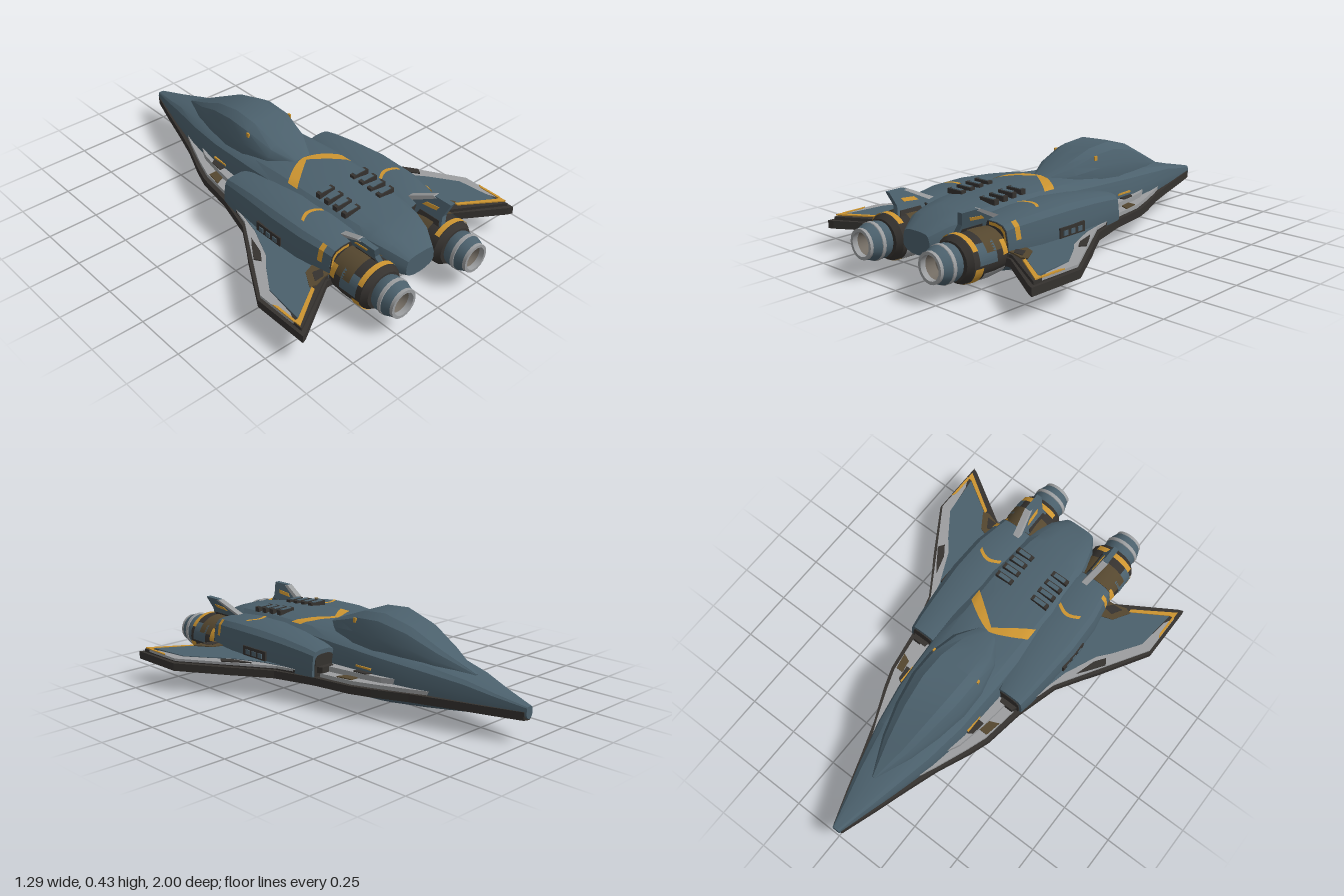
import * as THREE from 'three';
import { toCreasedNormals } from 'three/addons/utils/BufferGeometryUtils.js';

const mat = (name, color) => new THREE.MeshStandardMaterial({ name, color, side: THREE.DoubleSide });

// right half of a hull section, bottom centre to top centre, in units of half width and height
const HULL = [[0, -1], [0.4, -0.94], [0.75, -0.7], [0.95, -0.35], [1, 0], [0.97, 0.45], [0.88, 0.8], [0.7, 0.94], [0.35, 1], [0, 1]];
const CANOPY = [[0, -1], [1, -1], [1, 0], [0.96, 0.35], [0.78, 0.8], [0.5, 1], [0, 1]];

// sections: z, centre x, half width, top y, middle y, bottom y
const BODY_SECTIONS = [
  [-1, 0, 0.02, 0.165, 0.135, 0.11], [-0.85, 0, 0.065, 0.2, 0.13, 0.09], [-0.72, 0, 0.105, 0.235, 0.13, 0.075],
  [-0.5, 0, 0.165, 0.27, 0.13, 0.045], [-0.3, 0, 0.2, 0.29, 0.135, 0.02], [-0.03, 0, 0.215, 0.31, 0.135, 0.005],
  [0.15, 0, 0.22, 0.325, 0.13, 0.008], [0.4, 0, 0.22, 0.328, 0.13, 0.025], [0.64, 0, 0.185, 0.31, 0.14, 0.045],
  [0.7, 0, 0.168, 0.302, 0.16, 0.058], [0.715, 0, 0.165, 0.3, 0.17, 0.115], [0.8, 0, 0.135, 0.28, 0.175, 0.12],
  [0.88, 0, 0.085, 0.235, 0.17, 0.13]];
const CANOPY_SECTIONS = [
  [-0.72, 0, 0.01, 0.24, 0.225, 0.2], [-0.55, 0, 0.085, 0.322, 0.255, 0.22], [-0.4, 0, 0.128, 0.397, 0.275, 0.22],
  [-0.25, 0, 0.155, 0.434, 0.29, 0.22], [-0.12, 0, 0.155, 0.423, 0.295, 0.22], [0.02, 0, 0.125, 0.37, 0.3, 0.22],
  [0.13, 0, 0.055, 0.326, 0.3, 0.22]];
const nacelleSections = s => [
  [-0.04, 0.255, 0.075, 0.262, 0.15, 0.11], [0.02, 0.25, 0.09, 0.275, 0.145, 0.09], [0.15, 0.24, 0.115, 0.292, 0.14, 0.065],
  [0.32, 0.235, 0.135, 0.305, 0.135, 0.045], [0.5, 0.235, 0.13, 0.303, 0.135, 0.045], [0.62, 0.225, 0.118, 0.29, 0.14, 0.055],
  [0.67, 0.225, 0.108, 0.28, 0.14, 0.065]].map(([z, x, ...r]) => [z, x * s, ...r]);

function finish(pos, idx) {
  const g = new THREE.BufferGeometry();
  g.setAttribute('position', new THREE.Float32BufferAttribute(pos, 3));
  g.setIndex(idx);
  return toCreasedNormals(g, 0.45);
}

// skin stretched over the sections, closed at both ends
function loft(sections, half) {
  const ring = [...half, ...half.slice(1, -1).reverse().map(([x, y]) => [-x, y])];
  const n = ring.length, pos = [], idx = [];
  for (const [z, cx, w, top, mid, bot] of sections)
    for (const [u, v] of ring) pos.push(cx + u * w, mid + v * (v > 0 ? top - mid : mid - bot), z);
  for (let i = 0; i < sections.length - 1; i++)
    for (let j = 0; j < n; j++) {
      const a = i * n + j, b = i * n + (j + 1) % n;
      idx.push(a, b, b + n, a, b + n, a + n);
    }
  for (const end of [0, sections.length - 1]) {
    const [z, cx, , , mid] = sections[end], c = pos.length / 3;
    pos.push(cx, mid, z);
    for (let j = 0; j < n; j++) {
      const a = end * n + j, b = end * n + (j + 1) % n;
      idx.push(c, ...(end ? [a, b] : [b, a]));
    }
  }
  return finish(pos, idx);
}

// section interpolated at z
function sectionAt(sections, z) {
  let i = 0;
  while (i < sections.length - 2 && sections[i + 1][0] < z) i++;
  const a = sections[i], b = sections[i + 1], t = (z - a[0]) / (b[0] - a[0]);
  return a.map((v, k) => v + (b[k] - v) * t);
}

// height of the upper skin at x, z
function topY(sections, x, z) {
  const [, cx, w, top, mid] = sectionAt(sections, z), u = Math.abs(x - cx) / w;
  for (let i = HULL.length - 1; i > 4; i--) {
    const [u1, v1] = HULL[i], [u0, v0] = HULL[i - 1];
    if (u >= u1 && u <= u0) return mid + (top - mid) * (v1 + (v0 - v1) * (u - u1) / (u0 - u1));
  }
  return 0;
}

// painted ribbon between two rows of points
function ribbon(rowA, rowB) {
  const pos = [], idx = [];
  rowA.forEach((p, i) => pos.push(...p, ...rowB[i]));
  for (let i = 0; i < rowA.length - 1; i++) idx.push(2 * i, 2 * i + 1, 2 * i + 3, 2 * i, 2 * i + 3, 2 * i + 2);
  return finish(pos, idx);
}

// flat plate with an outline in x, z
function plate(points, s, y0, y1) {
  const shape = new THREE.Shape(points.map(([x, z]) => new THREE.Vector2(x * s, -z)));
  return new THREE.ExtrudeGeometry(shape, { depth: y1 - y0, bevelEnabled: false }).rotateX(-Math.PI / 2).translate(0, y0, 0);
}

// turned part along z; points are radius, z; an arc is in degrees, from below (0) through +x (90) to the top (180)
const turned = (points, from = 0, to = 360) => toCreasedNormals(new THREE.LatheGeometry(points.map(p => new THREE.Vector2(...p)),
  20, from * Math.PI / 180, (to - from) * Math.PI / 180).rotateX(Math.PI / 2), 0.6);

export function createModel() {
  const model = new THREE.Group();
  model.name = 'starfighter';
  const blue = mat('blueGreyHull', 0x4b606c), dark = mat('darkTrim', 0x35322f), light = mat('lightGrey', 0x9c9ea0);
  const orange = mat('orangePaint', 0xcc9430), brown = mat('brownMetal', 0x55472f), inner = mat('nozzleGrey', 0x746d64);
  const add = (name, geometry, material, parent = model) => {
    const m = new THREE.Mesh(geometry, material);
    m.name = name;
    parent.add(m);
    return m;
  };
  const box = (name, size, at, material, parent) =>
    add(name, new THREE.BoxGeometry(...size), material, parent).position.set(...at);

  add('fuselage', loft(BODY_SECTIONS, HULL), blue);
  add('canopy', loft(CANOPY_SECTIONS, CANOPY), blue);

  // chevron behind the canopy, draped over the back
  const drape = (x, z) => [x, topY(BODY_SECTIONS, x, z) + 0.005, z];
  const xs = Array.from({ length: 17 }, (_, i) => (i - 8) * 0.0208);
  add('chevron', ribbon(xs.map(x => drape(x, 0.132 + 0.085 * Math.pow(Math.abs(x) / 0.166, 1.4))),
    xs.map(x => drape(x, 0.155 + 0.125 * Math.abs(x) / 0.166))), orange);

  // rear step under the tail
  const step = (y0, y1, xw) => [-1, -0.5, 0, 0.5, 1].map(t => [t * xw, y0 + (y1 - y0) * Math.abs(t), 0.718]);
  add('rearStep', ribbon(step(0.064, 0.085, 0.125), step(0.118, 0.125, 0.13)), dark);
  add('rearStepStripe', ribbon(step(0.07, 0.09, 0.08), step(0.083, 0.102, 0.08)).translate(0, 0, 0.003), orange);

  for (const s of [1, -1]) {
    const side = new THREE.Group();
    side.name = s > 0 ? 'leftSide' : 'rightSide';
    model.add(side);

    // wing with its forward strake: slab, then painted plates
    const panel = (name, y0, y1, material, ...points) => add(name, plate(points, s, y0, y1), material, side);
    panel('wingSlab', 0.105, 0.142, dark, [0, -1], [0.025, -0.99], [0.08, -0.83], [0.135, -0.66], [0.19, -0.5], [0.26, -0.34], [0.295, -0.24],
      [0.325, -0.05], [0.385, 0.16], [0.46, 0.28], [0.5, 0.34], [0.645, 0.58], [0.645, 0.86], [0.62, 0.85], [0.35, 0.68], [0, 0.68]);
    panel('strakePanel', 0.142, 0.16, light, [0.14, -0.58], [0.18, -0.49], [0.24, -0.34], [0.275, -0.24], [0.3, -0.06], [0.15, -0.04]);
    panel('strakeInset', 0.16, 0.185, light, [0.15, -0.46], [0.205, -0.35], [0.235, -0.2], [0.255, -0.05], [0.15, -0.05]);
    panel('strakePatch', 0.185, 0.189, dark, [0.19, -0.29], [0.222, -0.27], [0.23, -0.2], [0.19, -0.2]);
    panel('strakeEdgePatch', 0.16, 0.165, brown, [0.23, -0.23], [0.27, -0.23], [0.285, -0.15], [0.24, -0.17]);
    panel('strakeEndPatch', 0.16, 0.188, dark, [0.225, -0.07], [0.295, -0.07], [0.305, -0.045], [0.22, -0.045]);
    panel('wingPanel', 0.142, 0.157, dark, [0.3, 0], [0.33, 0], [0.37, 0.17], [0.45, 0.3], [0.49, 0.37], [0.625, 0.59], [0.63, 0.835], [0.35, 0.67], [0.3, 0.67]);
    panel('leadingEdge', 0.15, 0.162, light, [0.335, 0.03], [0.372, 0.16], [0.455, 0.295], [0.495, 0.36], [0.633, 0.583], [0.633, 0.79],
      [0.607, 0.74], [0.585, 0.585], [0.5, 0.46], [0.45, 0.4], [0.38, 0.24], [0.34, 0.12]);
    panel('wingSkin', 0.157, 0.165, blue, [0.3, 0.08], [0.345, 0.1], [0.38, 0.24], [0.45, 0.4], [0.5, 0.46], [0.585, 0.585], [0.607, 0.785], [0.4, 0.655], [0.3, 0.65]);
    panel('wingRootPatch', 0.163, 0.169, brown, [0.3, 0.6], [0.34, 0.58], [0.4, 0.6], [0.45, 0.68], [0.42, 0.69], [0.36, 0.672], [0.3, 0.67]);
    panel('wingRootPaint', 0.166, 0.171, dark, [0.33, 0.63], [0.38, 0.62], [0.41, 0.67], [0.36, 0.668]);
    panel('leadingEdgePatch', 0.157, 0.167, dark, [0.425, 0.27], [0.455, 0.31], [0.51, 0.39], [0.49, 0.42], [0.455, 0.37]);
    panel('trailingStripe', 0.16, 0.166, orange, [0.44, 0.682], [0.607, 0.787], [0.63, 0.79], [0.63, 0.825], [0.615, 0.815], [0.44, 0.7]);
    panel('tipStripe', 0.16, 0.166, orange, [0.622, 0.68], [0.633, 0.66], [0.633, 0.79], [0.622, 0.79]);
    panel('wingUnderside', 0.1, 0.105, blue, [0.05, -0.85], [0.17, -0.5], [0.24, -0.34], [0.27, -0.24], [0.3, -0.05], [0.36, 0.16],
      [0.48, 0.37], [0.615, 0.6], [0.615, 0.81], [0.35, 0.65], [0.05, 0.65]);
    panel('underTipStripe', 0.097, 0.103, orange, [0.595, 0.7], [0.618, 0.7], [0.618, 0.81], [0.595, 0.795]);

    // engine housing with intake, rear face and paint
    const sections = nacelleSections(s);
    add('nacelle', loft(sections, HULL), blue, side);
    const cap = (name, z, k, m) => {
      const [, cx, w, top, mid, bot] = sectionAt(sections, z);
      add(name, loft([z - 0.004, z + 0.004].map(e => [e, cx, w * k, mid + (top - mid) * k, mid, mid - (mid - bot) * k]), HULL), m, side);
    };
    cap('intake', -0.04, 0.82, dark);
    cap('nacelleRear', 0.67, 0.98, dark);

    const outline = (z, k, from, to) => {
      const [, cx, w, top, mid] = sectionAt(sections, z);
      return HULL.slice(from, to).map(([u, v]) => [cx + s * u * w * k, mid + v * (top - mid) * k, z]);
    };
    add('nacelleBand', ribbon(outline(0.608, 1.03, 5, 8), outline(0.632, 1.03, 5, 8)), orange, side);
    add('rearEdgeStripe', ribbon(outline(0.67, 0.97, 5), outline(0.67, 0.87, 5)).translate(0, 0, 0.006), orange, side);

    const arc = dz => Array.from({ length: 8 }, (_, i) => {
      const x = s * (0.175 + i * 0.017), z = 0.45 - 0.026 * Math.sin(i / 7 * Math.PI) + dz;
      return [x, Math.max(topY(sections, x, z), topY(BODY_SECTIONS, x, z)) + 0.005, z];
    });
    add('shoulderStripe', ribbon(arc(0), arc(0.018)), orange, side);
    box('sideVentFrame', [0.02, 0.046, 0.16], [s * 0.36, 0.188, 0.32], dark, side);
    for (let i = 0; i < 3; i++) box('sideVentSlat', [0.02, 0.022, 0.026], [s * 0.364, 0.185, 0.275 + i * 0.045], blue, side);

    // back vents with hull coloured lids
    for (let i = 0; i < 4; i++) {
      const z = 0.395 + i * 0.054, y = topY(BODY_SECTIONS, 0.103, z);
      box('backVent', [0.09, 0.024, 0.026], [s * 0.103, y + 0.006, z], dark, side);
      box('backVentLid', [0.06, 0.004, 0.02], [s * 0.103, y + 0.019, z - 0.002], blue, side);
    }

    // engine: dark pod with painted patches, then the nozzle
    const engine = new THREE.Group();
    engine.name = 'engine';
    engine.position.set(s * 0.22, 0.155, 0);
    side.add(engine);
    const pod = (name, points, m, from = 0, to = 360) => { // arcs are given for the left engine and mirrored
      add(name, s > 0 ? turned(points, from, to) : turned(points, 360 - to, 360 - from), m, engine).scale.y = 0.9;
    };
    pod('enginePod', [[0, 0.58], [0.09, 0.6], [0.108, 0.66], [0.116, 0.74], [0.114, 0.86], [0.095, 0.885], [0.05, 0.89]], dark);
    pod('podTopPatch', [[0.111, 0.67], [0.119, 0.74], [0.119, 0.79]], brown, 110, 230);
    pod('podOuterPatch', [[0.119, 0.74], [0.118, 0.835]], blue, 85, 135);
    pod('podLowerPatch', [[0.111, 0.67], [0.119, 0.74], [0.118, 0.8]], light, 20, 62);
    pod('podInnerPatch', [[0.111, 0.67], [0.119, 0.74], [0.118, 0.84]], light, 285, 330);
    pod('podUnderPatch', [[0.119, 0.74], [0.118, 0.85]], brown, 330, 380);
    pod('podBandUpper', [[0.119, 0.832], [0.118, 0.858]], orange, 120, 225);
    pod('podBandLower', [[0.12, 0.815], [0.118, 0.858]], orange, 25, 80);
    pod('podStripe', [[0.113, 0.675], [0.118, 0.705]], orange, 95, 130);
    add('nozzle', turned([[0.07, 0.87], [0.083, 0.9], [0.083, 0.95], [0.068, 0.99]]), blue, engine);
    add('nozzleBand', turned([[0.083, 0.927], [0.086, 0.929], [0.086, 0.945], [0.083, 0.947]]), light, engine);
    add('nozzleRim', turned([[0.07, 0.982], [0.069, 1], [0.055, 1], [0.054, 0.975]]), light, engine);
    add('nozzleBore', turned([[0.055, 0.98], [0.045, 0.93], [0, 0.91]]), inner, engine);

    // tail fin leaning outwards
    const fin = (name, t, material, ...points) => {
      const shape = new THREE.Shape(points.map(([z, y]) => new THREE.Vector2(-z, y)));
      const g = new THREE.ExtrudeGeometry(shape, { depth: t, bevelEnabled: false }).rotateY(Math.PI / 2).translate(-t / 2, 0, 0);
      const p = g.attributes.position;
      for (let i = 0; i < p.count; i++) p.setX(i, p.getX(i) + s * (0.175 + (p.getY(i) - 0.22) * 0.42));
      add(name, toCreasedNormals(g, 0.4), material, side);
    };
    fin('tailFin', 0.026, blue, [0.61, 0.22], [0.62, 0.29], [0.75, 0.35], [0.84, 0.35], [0.82, 0.29], [0.84, 0.22]);
    fin('finEdge', 0.03, light, [0.615, 0.27], [0.618, 0.292], [0.74, 0.349], [0.76, 0.345]);
    fin('finRoot', 0.031, dark, [0.68, 0.22], [0.7, 0.27], [0.812, 0.27], [0.83, 0.22]);
    fin('finMark', 0.032, orange, [0.7, 0.295], [0.72, 0.312], [0.79, 0.318], [0.78, 0.302]);

    // small painted marks
    box('canopyMark', [0.008, 0.022, 0.016], [s * 0.127, 0.385, -0.11], orange, side);
    box('strakeMark', [0.012, 0.008, 0.09], [s * 0.197, 0.205, -0.235], orange, side);
  }
  return model;
}
